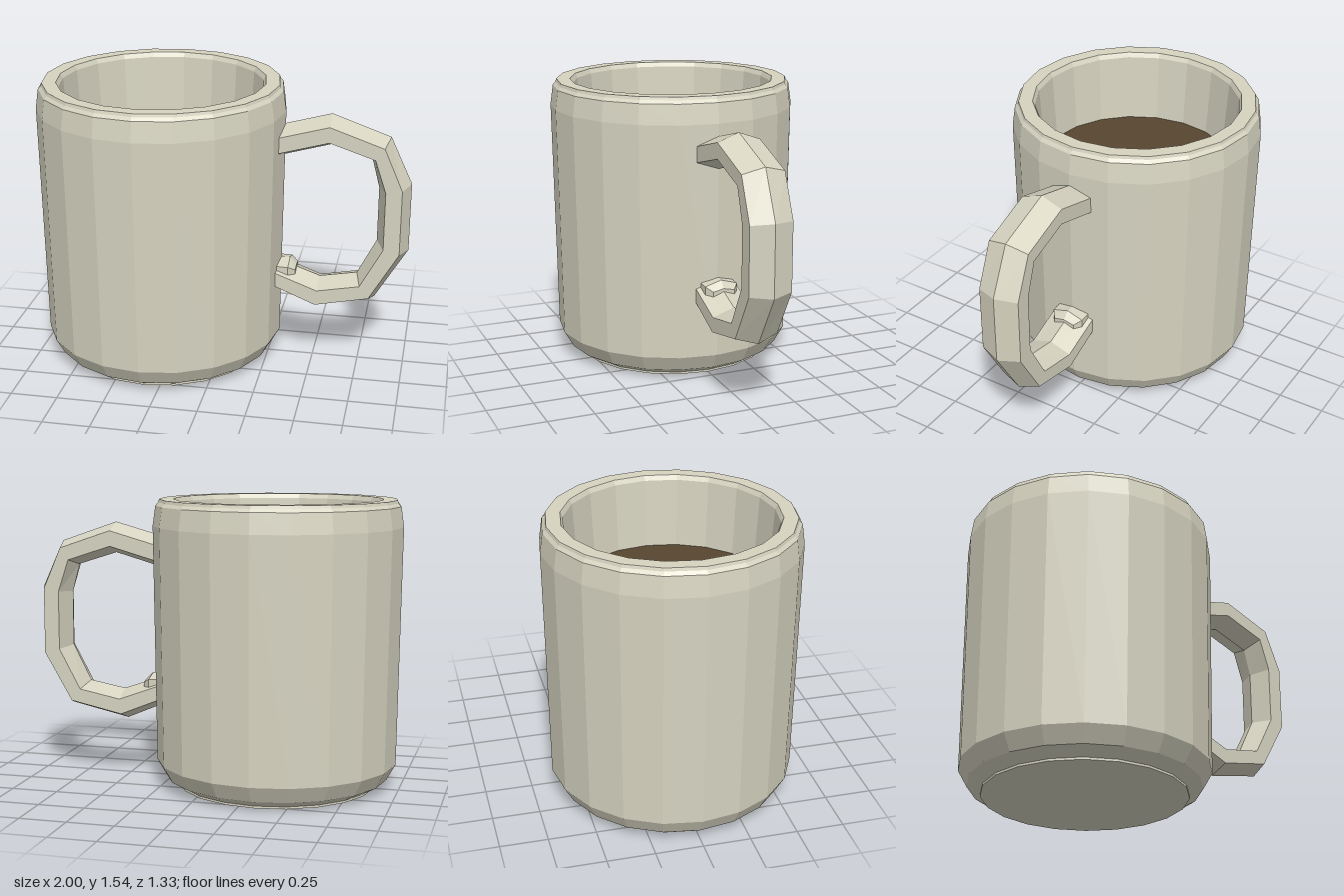
import * as THREE from 'three';

// Loft of hexagonal sections; each section is [outerX, outerY, innerX, innerY, halfWidth],
// with ridges at the outer and inner points and flat sides between them.
function loft(sections) {
  const pos = [], idx = [];
  const ring = [[0, 0], [0.25, 1], [0.75, 1], [1, 0], [0.75, -1], [0.25, -1]];
  const n = ring.length, last = (sections.length - 1) * n;
  for (const [ox, oy, ix, iy, w] of sections) {
    for (const [t, s] of ring) pos.push(ox + (ix - ox) * t, oy + (iy - oy) * t, s * w);
  }
  for (let i = 0; i < sections.length - 1; i++) {
    for (let j = 0; j < n; j++) {
      const a = i * n + j, b = i * n + (j + 1) % n;
      idx.push(a, b, b + n, a, b + n, a + n);
    }
  }
  // end caps
  for (let j = 1; j < n - 1; j++) idx.push(0, j + 1, j, last, last + j, last + j + 1);
  const g = new THREE.BufferGeometry();
  g.setAttribute('position', new THREE.Float32BufferAttribute(pos, 3));
  g.setIndex(idx);
  const flat = g.toNonIndexed();
  flat.computeVertexNormals();
  return flat;
}

export function createModel() {
  const group = new THREE.Group();
  const ceramic = new THREE.MeshStandardMaterial({ color: 0xd6d3c0, flatShading: true });
  ceramic.name = 'cream ceramic';
  const coffee = new THREE.MeshStandardMaterial({ color: 0x564530, flatShading: true });
  coffee.name = 'coffee brown';

  const add = (name, geometry, material, x = 0, y = 0) => {
    const mesh = new THREE.Mesh(geometry, material);
    mesh.name = name;
    mesh.position.set(x, y, 0);
    group.add(mesh);
  };

  const SIDES = 20, CUP_X = -0.335;

  // cup: base, outer wall, rim, then down the inside
  const profile = [
    [0, 0], [0.53, 0], [0.53, 0.012], [0.6, 0.052], [0.648, 0.138],
    [0.665, 1.4], [0.65, 1.507], [0.635, 1.524], [0.63, 1.54],
    [0.556, 1.54], [0.543, 1.515], [0.52, 1.16], [0.515, 1.1],
  ].map(([r, y]) => new THREE.Vector2(r, y));
  add('cup', new THREE.LatheGeometry(profile, SIDES), ceramic, CUP_X);

  // drink surface
  add('coffee', new THREE.CircleGeometry(0.52, SIDES).rotateX(-Math.PI / 2), coffee, CUP_X, 1.15);

  // handle, from the upper joint round to the lower joint
  const W = 0.115;
  add('handle', loft([
    [0.3, 1.328, 0.3, 1.158, W],
    [0.572, 1.403, 0.572, 1.235, W],
    [0.882, 1.294, 0.79, 1.165, W],
    [1.0, 1.043, 0.83, 1.013, W],
    [1.0, 0.668, 0.83, 0.712, W],
    [0.829, 0.382, 0.73, 0.515, W],
    [0.513, 0.313, 0.53, 0.478, W],
    [0.3, 0.405, 0.3, 0.56, W],
  ]), ceramic);

  // small curl resting on the lower joint
  add('handleCurl', loft([
    [0.29, 0.576, 0.29, 0.48, 0.09],
    [0.365, 0.576, 0.365, 0.47, 0.09],
    [0.402, 0.54, 0.402, 0.49, 0.06],
  ]), ceramic);

  return group;
}
